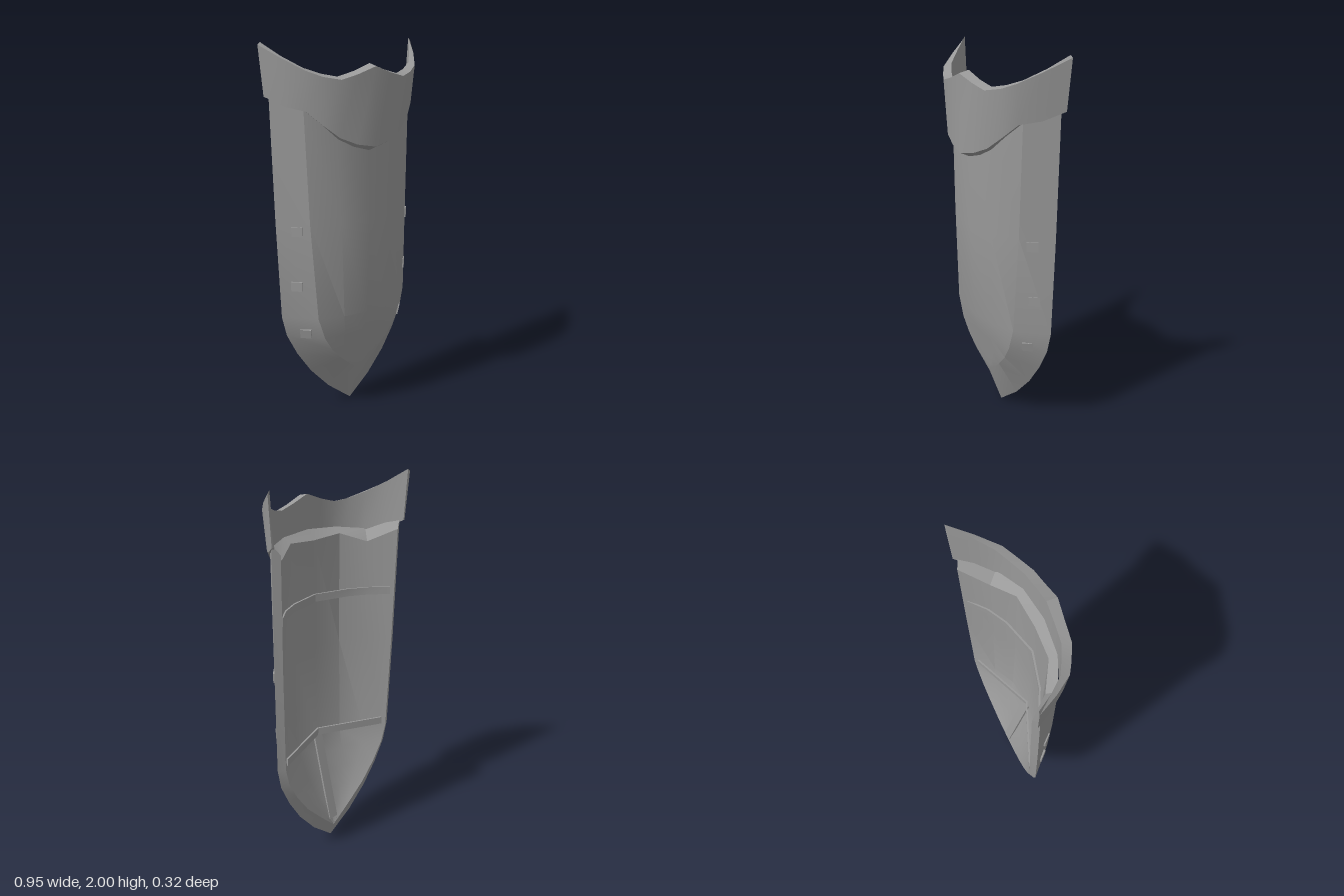
import * as THREE from 'three';
import { toCreasedNormals } from 'three/addons/utils/BufferGeometryUtils.js';

const material = new THREE.MeshStandardMaterial({ color: 0x999999 });

// Skin a list of closed rings; ends are capped by pairing each ring's front and back halves
function loft(rings, capEnd, crease) {
  const n = rings[0].length, index = [];
  const quad = (a, b, c, d) => index.push(a, b, c, a, c, d);
  for (let r = 0; r < rings.length - 1; r++) {
    for (let i = 0; i < n; i++) {
      const j = (i + 1) % n;
      quad(r * n + i, (r + 1) * n + i, (r + 1) * n + j, r * n + j);
    }
  }
  const last = (rings.length - 1) * n;
  for (let i = 0; i < n / 2 - 1; i++) {
    const q = [i, i + 1, n - 2 - i, n - 1 - i];
    quad(...q);
    if (capEnd) quad(...q.reverse().map(k => last + k));
  }
  const g = new THREE.BufferGeometry();
  g.setAttribute('position', new THREE.Float32BufferAttribute(rings.flat(2), 3));
  g.setIndex(index);
  return toCreasedNormals(g, crease);
}

// Centre line drifts slightly to the left towards the tip
const drift = y => 0.02 - 0.009 * y;

// Mirror a centre-to-side list of stations into a full -x to +x list
const mirror = (half, make) => [
  ...half.slice(1).reverse().map(s => make(s, -1)),
  ...half.map(s => make(s, 1)),
];

// Body rows from top to tip: edge, ridge, middle, centre as [half width, y, z],
// then the hollow side's centre [y, z] and how far its walls bulge from a plain V
const rows = [
  [[0.44, 1.75, -0.13], [0.33, 1.69, 0.01], [0.18, 1.71, 0.08], [0, 1.72, 0.1], [1.67, 0.055], 1],
  [[0.43, 1.1, -0.125], [0.31, 1.1, 0.014], [0.165, 1.1, 0.088], [0, 1.1, 0.11], [1.1, 0.048], 0.85],
  [[0.415, 0.58, -0.12], [0.275, 0.58, 0.02], [0.14, 0.58, 0.065], [0, 0.58, 0.08], [0.58, 0.025], 0.7],
  [[0.39, 0.47, -0.117], [0.235, 0.46, 0.018], [0.12, 0.46, 0.042], [0, 0.46, 0.05], [0.47, 0], 0.5],
  [[0.33, 0.35, -0.113], [0.185, 0.38, 0.012], [0.09, 0.385, 0.027], [0, 0.385, 0.031], [0.37, -0.03], 0.4],
  [[0.25, 0.23, -0.107], [0.12, 0.31, 0.006], [0.06, 0.315, 0.013], [0, 0.32, 0.015], [0.28, -0.054], 0.25],
  [[0.14, 0.11, -0.1], [0.06, 0.26, -0.001], [0.03, 0.265, 0.001], [0, 0.265, 0.002], [0.18, -0.084], 0.1],
  [[0, 0, -0.09], [0, 0.22, -0.01], [0, 0.22, -0.01], [0, 0.22, -0.01], [0.08, -0.115], 0],
];

function bodyGeometry() {
  const place = (p, s) => [s * p[0] + drift(p[1]), p[1], p[2]];
  const rings = rows.map(([e, r, m, c, [cy, cz], bulge], k) => {
    const lift = k === 0 ? -0.05 : 0.07 * Math.max(0, k - 2) / 5;
    const dip = k === 0 ? 0.06 : 0;
    const rim = [Math.max(0, e[0] - 0.037), e[1] + lift, e[2] - 0.022];
    const wall = (f, out, drop) => [
      rim[0] * f, cy + (rim[1] - cy) * f - drop, cz + (rim[2] - cz) * f + out * bulge,
    ];
    const outer = mirror([c, m, r, e], place);
    const inner = mirror([wall(0, 0, 0), wall(0.42, 0.074, 0), wall(0.74, 0.063, dip), rim], place);
    return [...outer, ...inner.reverse()];
  });
  return loft(rings, false, 0.38);
}

// Collar stations: [x, top z, top y, bottom z, bottom y, inner x, inner z]
const collar = [
  [0, 0.16, 1.885, 0.16, 1.49, 0, 0.105],
  [0.1, 0.148, 1.85, 0.142, 1.508, 0.095, 0.1],
  [0.19, 0.137, 1.827, 0.12, 1.545, 0.183, 0.09],
  [0.27, 0.096, 1.842, 0.082, 1.61, 0.255, 0.055],
  [0.337, 0.053, 1.87, 0.034, 1.675, 0.328, 0.012],
  [0.41, -0.045, 1.925, -0.055, 1.695, 0.402, -0.07],
  [0.477, -0.156, 1.988, -0.15, 1.74, 0.464, -0.154],
];

function collarGeometry() {
  const rings = mirror(collar, ([x, z, top, bz, bottom, ix, iz], s) => {
    const taper = 1 - 0.045 * (x / 0.477) ** 2;
    const drop = 0.025 * Math.max(0, 1 - x / 0.3);
    return [
      [s * x * taper + 0.004, bottom, bz], [s * x + 0.004, top, z],
      [s * ix + 0.004, top + 0.012, iz], [s * ix * taper + 0.004, bottom - drop, iz],
    ];
  });
  return loft(rings, true, 0.6);
}

// Thin flat band across the hollow side at height y; stations are [x, z]
function strapGeometry(y, half) {
  const rings = mirror(half, ([x, z], s) => {
    const px = s * x + drift(y), lo = y - 0.02, hi = y + 0.02;
    return [[px, lo, z + 0.005], [px, hi, z + 0.005], [px, hi, z - 0.005], [px, lo, z - 0.005]];
  });
  return loft(rings, true, 0.3);
}

export function createModel() {
  const group = new THREE.Group();
  const add = (name, geometry) => {
    const mesh = new THREE.Mesh(geometry, material);
    mesh.name = name;
    group.add(mesh);
    return mesh;
  };

  add('body', bodyGeometry());
  add('collar', collarGeometry());
  add('upperStrap', strapGeometry(1.37, [[0, 0.046], [0.19, -0.004], [0.294, -0.058], [0.38, -0.13]]));
  add('lowerStrap', strapGeometry(0.61, [[0, 0.02], [0.355, -0.127]]));

  // Narrow rib from the lower strap down to the tip
  const rib = add('rib', new THREE.BoxGeometry(0.055, 0.5, 0.012));
  rib.position.set(0.017, 0.36, -0.043);
  rib.rotation.x = 0.258;

  // Small square studs lying almost flush on the side facets
  const studs = [[0.355, 1.06, -0.038, 0], [0.357, 0.76, -0.053, 0], [0.315, 0.487, -0.045, -0.2]];
  for (const side of [-1, 1]) {
    for (const [x, y, z, tilt] of studs) {
      const stud = add(side > 0 ? 'leftStud' : 'rightStud', new THREE.BoxGeometry(0.06, 0.05, 0.012));
      stud.position.set(side * x + drift(y), y, z);
      stud.lookAt(stud.position.clone().add(new THREE.Vector3(side * 0.73, tilt, 0.67)));
    }
  }
  return group;
}
